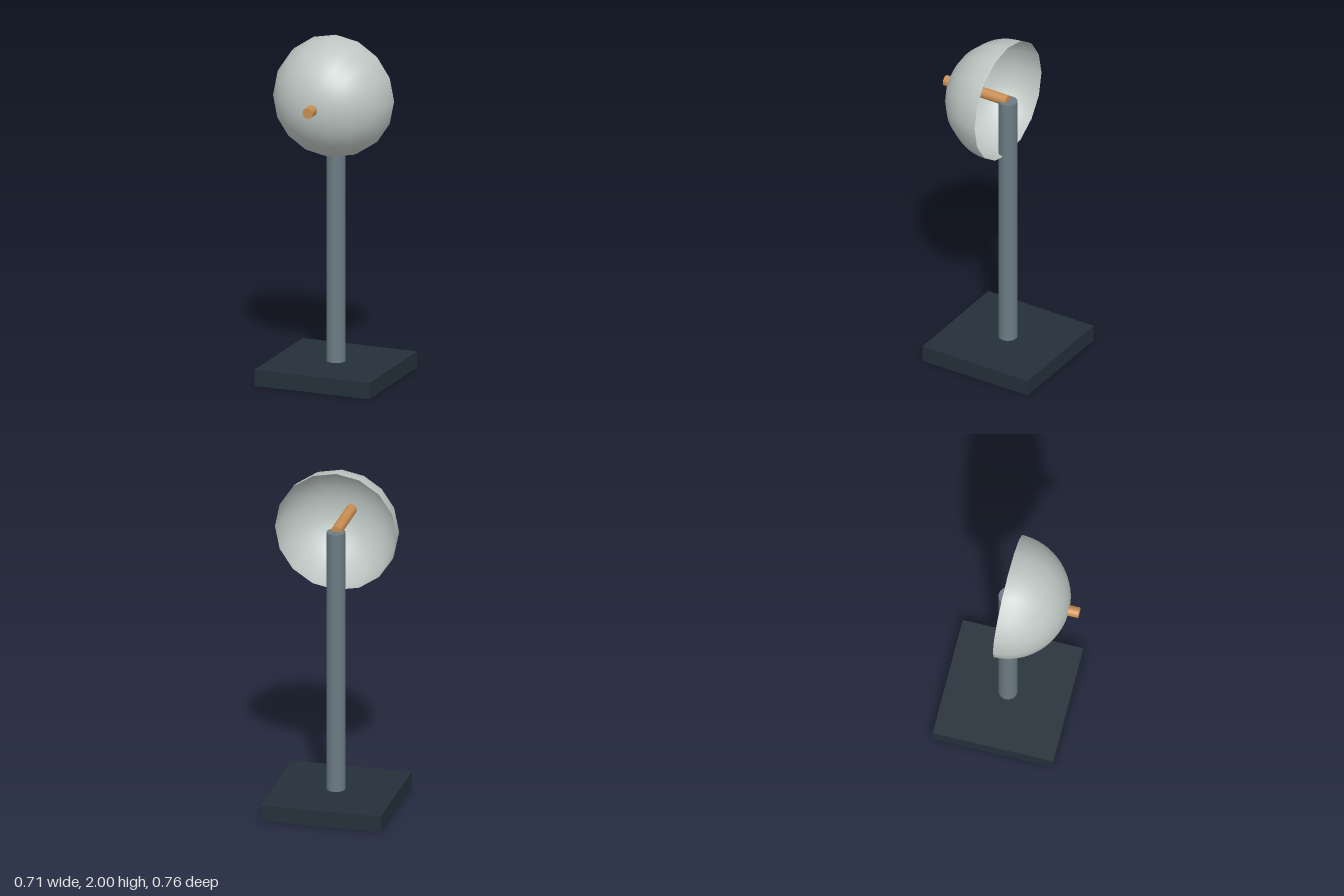
import * as THREE from 'three';

const mat = (name, color, side = THREE.FrontSide) => {
  const m = new THREE.MeshStandardMaterial({ color, side });
  m.name = name;
  return m;
};

export function createModel() {
  const group = new THREE.Group();
  const axisZ = -0.032; // common depth of base, pole and dome rim
  const headY = 1.649;
  const baseHeight = 0.095;

  const add = (name, geometry, material, y, z) => {
    const mesh = new THREE.Mesh(geometry, material);
    mesh.name = name;
    mesh.position.set(0, y, z);
    group.add(mesh);
    return mesh;
  };

  // Square foot
  add('base', new THREE.BoxGeometry(0.698, baseHeight, 0.698),
    mat('dark slate', 0x24303a), baseHeight / 2, axisZ);

  // Upright pole, ending at the height of the rod
  add('pole', new THREE.CylinderGeometry(0.053, 0.053, headY - baseHeight, 32),
    mat('steel grey', 0x6c7b83), (headY + baseHeight) / 2, axisZ);

  // Open half-sphere shade bulging to the front
  const dome = new THREE.SphereGeometry(1, 16, 16, 0, Math.PI * 2, 0, Math.PI / 2);
  dome.rotateX(Math.PI / 2);
  dome.scale(0.354, 0.351, 0.353);
  add('dome', dome, mat('pale grey', 0xbdc6c2, THREE.DoubleSide), headY, axisZ);

  // Rod from the pole axis through the dome
  const rodEnd = 0.381;
  const rod = new THREE.CylinderGeometry(0.031, 0.031, rodEnd - axisZ, 24);
  rod.rotateX(Math.PI / 2);
  add('rod', rod, mat('copper', 0xc98e52), headY, (rodEnd + axisZ) / 2);

  return group;
}
